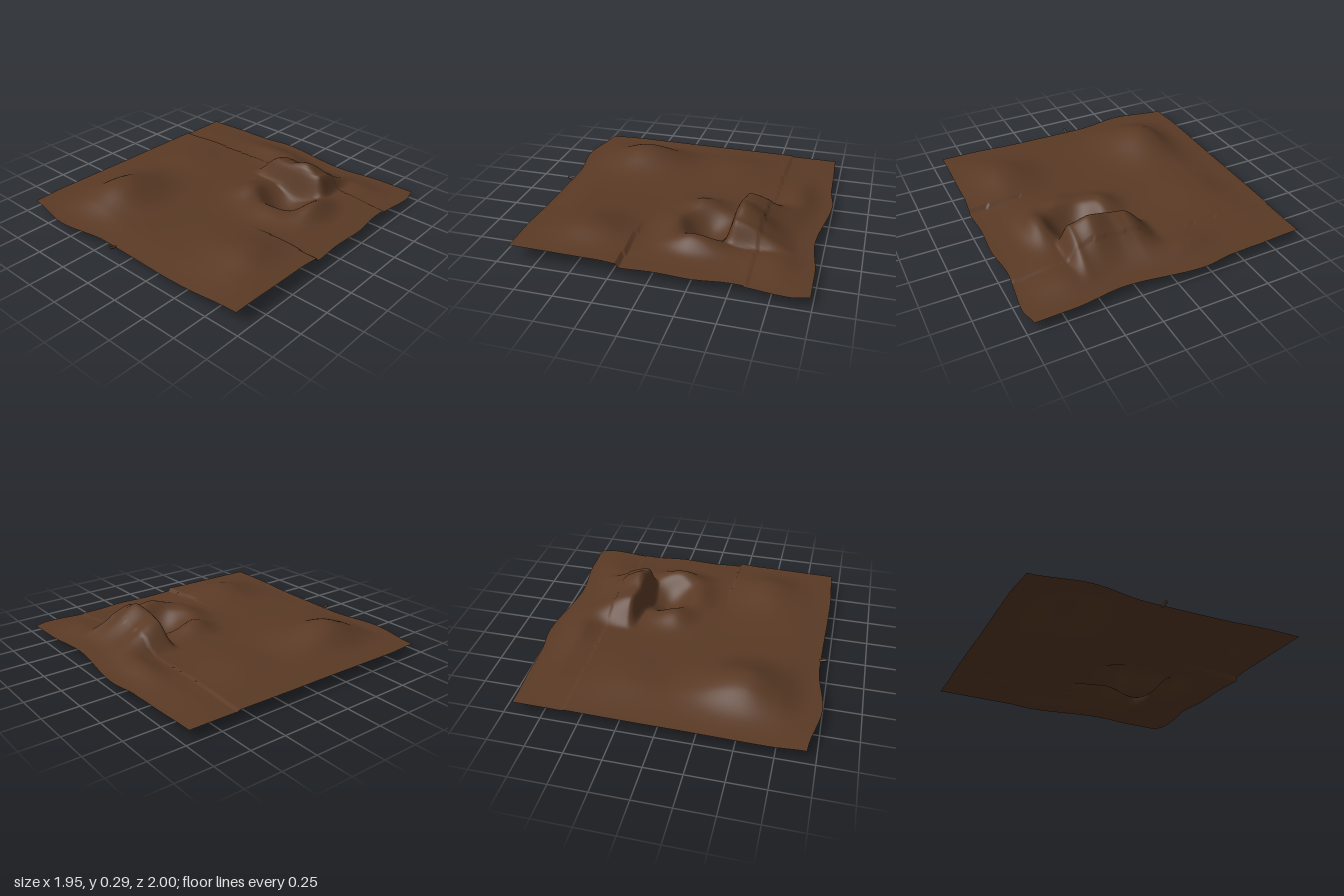
import * as THREE from 'three';

const smooth = (a, b, v) => THREE.MathUtils.smoothstep(v, a, b);

// Smooth interpolation through [position, value] pairs
function along(points, v) {
  if (v <= points[0][0]) return points[0][1];
  for (let i = 1; i < points.length; i++) {
    const [p, a] = points[i - 1], [q, b] = points[i];
    if (v <= q) return a + (b - a) * smooth(p, q, v);
  }
  return points[points.length - 1][1];
}

// Rolling ground: x, z, height, radius in x, radius to the back, radius to the front
const hills = [
  [-0.53, 0.5, 0.122, 0.23, 0.32, 0.24],
  [0.6, 0.5, 0.06, 0.25, 0.25, 0.2],
  [0.12, -0.14, 0.07, 0.12, 0.16, 0.12],
  [0.62, -0.2, 0.085, 0.1, 0.2, 0.15],
  [0.4, -0.02, 0.05, 0.2, 0.1, 0.12],
  [-0.15, -0.8, 0.045, 0.25, 0.14, 0.14],
  [-0.55, -0.25, 0.025, 0.25, 0.25, 0.2],
  [0.7, -0.75, 0.025, 0.25, 0.2, 0.2],
];

// Ridge of the mound behind the hollow, height above the ground
const ridge = [[-0.1, 0], [0.12, 0.16], [0.2, 0.165], [0.36, 0.215], [0.49, 0.155], [0.58, 0.0]];

// Wavy outline of the sheet on each side
const backEdge = [[-1, -0.95], [-0.6, -0.965], [-0.45, -0.97], [-0.2, -1], [0.37, -0.94], [0.75, -0.98], [1, -0.985]];
const frontEdge = [[-1, 0.94], [-0.6, 0.998], [-0.2, 0.945], [0.6, 0.957], [1, 0.94]];
const leftEdge = [[-1, -0.96], [0, -0.97], [0.75, -0.978], [1, -0.965]];
const rightEdge = [[-1, 0.95], [-0.88, 0.975], [-0.5, 0.94], [-0.25, 0.962], [0, 0.95], [0.2, 0.96], [0.4, 0.945], [1, 0.935]];

function height(x, z) {
  const inside = (1 - smooth(0.62, 0.98, Math.abs(x))) * (1 - smooth(0.72, 0.98, Math.abs(z)) * 0.95);
  let y = 0;
  for (const [cx, cz, h, rx, back, front] of hills) {
    const dx = (x - cx) / rx, dz = (z - cz) / (z < cz ? back : front);
    y += h * Math.exp(-dx * dx - dz * dz);
  }
  y = 0.06 + y * inside + 0.015 * inside;
  // edge lifts towards the back right corner
  y += 0.025 * smooth(0.3, 0.95, x) * smooth(0.2, -0.95, z) + 0.008 * smooth(-0.6, -1, z);

  // mound with a steep front and a long back slope
  const crest = -0.445 - 0.02 * Math.cos(x * 9);
  const slope = z > crest ? 1 - smooth(crest, crest + 0.075, z) : Math.pow(1 - smooth(0, 0.42, crest - z), 1.1);
  y += along(ridge, x) * slope;

  // rounded hollow in front of the mound
  const r = Math.hypot((x - 0.36) / 1.05, z + 0.255) / 0.225;
  if (r < 1) {
    const w = 0.5 + 0.5 * Math.cos(Math.PI * r);
    y = THREE.MathUtils.lerp(y, 0, w);
  }
  return Math.max(0, y);
}

export function createModel() {
  const model = new THREE.Group();
  model.name = 'terrain';
  const soil = new THREE.MeshStandardMaterial({ color: 0x5a3a25, side: THREE.DoubleSide });
  soil.name = 'brown soil';

  // Ground sheet, stretched to the wavy outline
  const geometry = new THREE.PlaneGeometry(2, 2, 150, 150).rotateX(-Math.PI / 2);
  const pos = geometry.attributes.position;
  for (let i = 0; i < pos.count; i++) {
    const u = pos.getX(i), v = pos.getZ(i);
    const x = THREE.MathUtils.lerp(along(leftEdge, v), along(rightEdge, v), (u + 1) / 2);
    const z = THREE.MathUtils.lerp(along(backEdge, u), along(frontEdge, u), (v + 1) / 2);
    pos.setXYZ(i, x, height(x, z), z);
  }
  geometry.computeVertexNormals();
  const ground = new THREE.Mesh(geometry, soil);
  ground.name = 'ground';
  model.add(ground);

  // Small peg at the front edge
  const peg = new THREE.Mesh(new THREE.CylinderGeometry(0.009, 0.009, 0.05, 8), soil);
  peg.name = 'peg';
  peg.rotation.x = Math.PI / 2 - 0.25;
  peg.position.set(-0.1, 0.073, 0.962);
  model.add(peg);
  return model;
}
